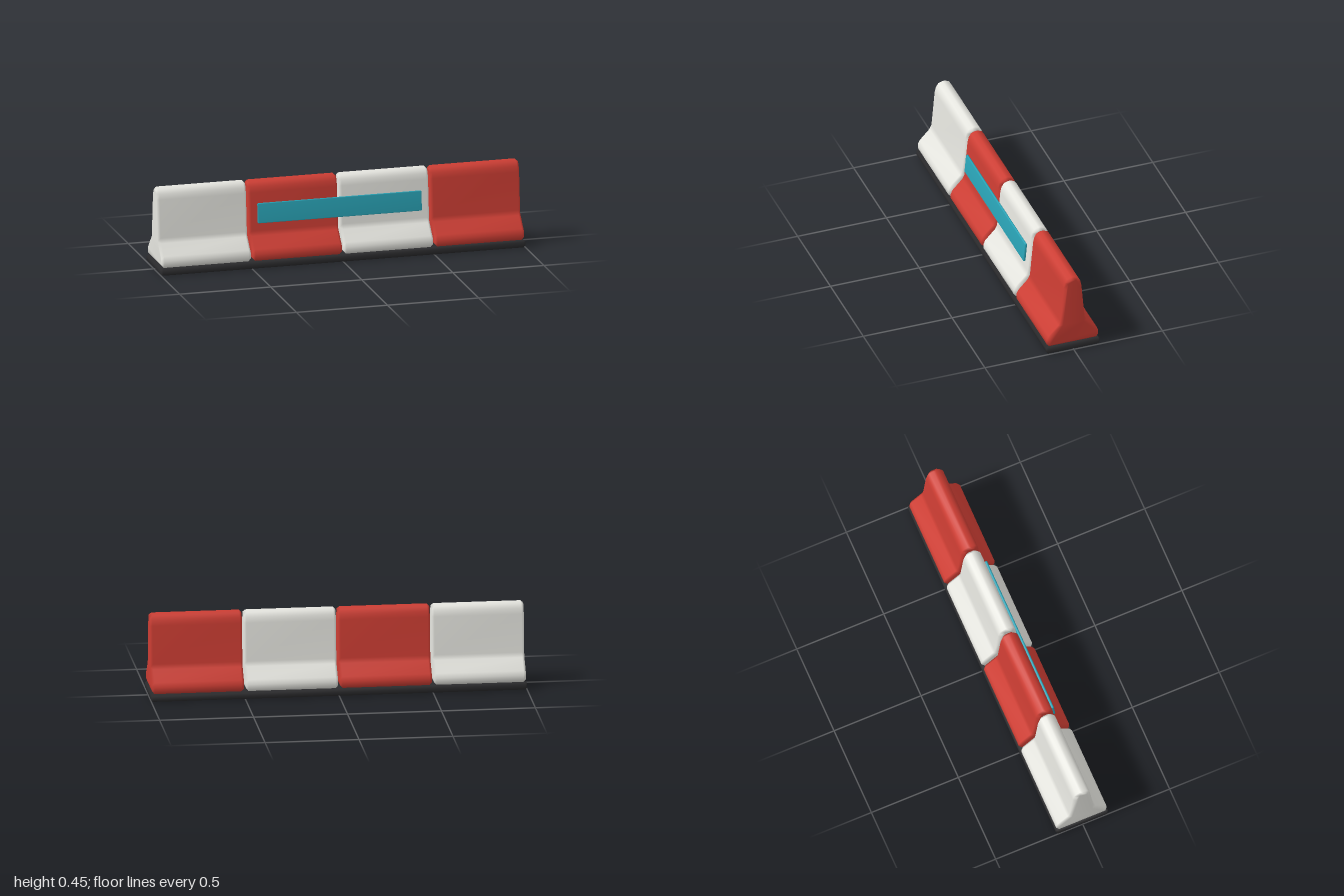
import * as THREE from 'three';
import { mergeVertices } from 'three/addons/utils/BufferGeometryUtils.js';

// Half profiles as [z, y], bottom to top; each end point pairs with a body point.
const BARRIER_BODY = [[0.132, 0.04], [0.145, 0.055], [0.145, 0.078], [0.135, 0.102], [0.08, 0.16],
  [0.068, 0.185], [0.05, 0.39], [0.043, 0.42], [0.03, 0.441], [0.006, 0.45]];
const BARRIER_END = [[0.132, 0.055], [0.132, 0.055], [0.132, 0.085], [0.132, 0.085], [0.057, 0.165],
  [0.057, 0.165], [0.0365, 0.387], [0.028, 0.42], [0.014, 0.437], [0.014, 0.437]];

const mirrored = (half) => [...half, ...half.map(([z, y]) => [-z, y]).reverse()];

// Bar along x: full profile in the middle, chamfered to the smaller end profile.
function bevelledBar(bodyHalf, endHalf, length, bevel) {
  const body = mirrored(bodyHalf), end = mirrored(endHalf), n = body.length, h = length / 2;
  const rings = [[-h, end], [-h + bevel, body], [h - bevel, body], [h, end]];
  const positions = rings.flatMap(([x, ring]) => ring.flatMap(([z, y]) => [x, y, z]));
  const index = [];
  const samePoint = (a, b) => [0, 1, 2].every((k) => positions[a * 3 + k] === positions[b * 3 + k]);
  const tri = (a, b, c) => {
    if (!samePoint(a, b) && !samePoint(b, c) && !samePoint(a, c)) index.push(a, b, c);
  };

  for (let r = 0; r < 3; r++) {
    for (let i = 0; i < n; i++) {
      const j = (i + 1) % n, a = r * n, b = a + n;
      tri(a + i, b + i, b + j);
      tri(a + i, b + j, a + j);
    }
  }

  // End caps
  const corners = [...end.keys()].filter((i) => !samePoint(i, (i + n - 1) % n));
  const outline = corners.map((i) => new THREE.Vector2(...end[i]));
  for (const face of THREE.ShapeUtils.triangulateShape(outline, [])) {
    const [a, b, c] = face.map((k) => corners[k]);
    tri(a, b, c);
    tri(3 * n + a, 3 * n + c, 3 * n + b);
  }

  const geometry = new THREE.BufferGeometry();
  geometry.setAttribute('position', new THREE.Float32BufferAttribute(positions, 3));
  geometry.setIndex(index);
  const merged = mergeVertices(geometry, 1e-5);
  merged.computeVertexNormals();
  return merged;
}

// Chamfered rectangular bar, z half-width w, from y0 to y1
function chamferedBar(w, y0, y1, length, b) {
  return bevelledBar(
    [[w - b, y0], [w, y0 + b], [w, y1 - b], [w - b, y1]],
    [[w - b, y0 + b], [w - b, y0 + b], [w - b, y1 - b], [w - b, y1 - b]],
    length, b);
}

export function createModel() {
  const group = new THREE.Group();
  const material = (color) => new THREE.MeshStandardMaterial({ color });
  const add = (name, geometry, mat) => {
    const mesh = new THREE.Mesh(geometry, mat);
    mesh.name = name;
    group.add(mesh);
    return mesh;
  };

  // Rubber foot
  add('base', chamferedBar(0.15, 0, 0.04, 2, 0.01), material(0x2b2b2d));

  // Four alternating barrier blocks
  const paint = [material(0xe4e4de), material(0xcc3d33)];
  const block = bevelledBar(BARRIER_BODY, BARRIER_END, 0.49, 0.013);
  for (let i = 0; i < 4; i++) {
    add(`${i % 2 ? 'red' : 'white'}Block${i + 1}`, block, paint[i % 2]).position.x = -0.75 + i * 0.5;
  }

  // Front plate, leaning with the wall
  const plate = add('frontPlate', chamferedBar(0.007, -0.054, 0.054, 0.9, 0.004), material(0x2aa5b8));
  plate.position.set(0, 0.281, 0.069);
  plate.rotation.x = -0.087;

  return group;
}
